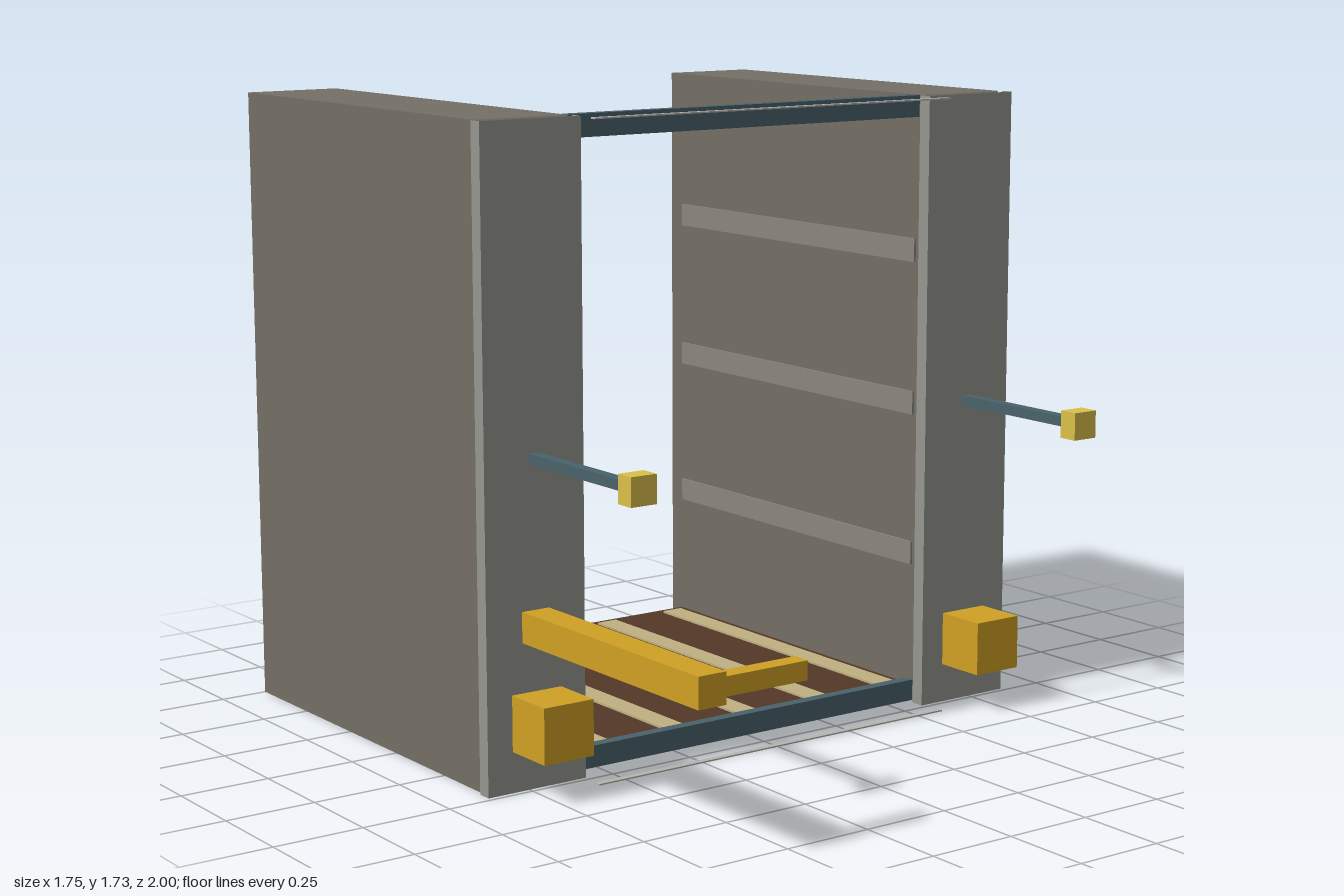
import * as THREE from 'three';

const paint = (color) => new THREE.MeshStandardMaterial({ color, side: THREE.DoubleSide });
const FACES = ['px', 'nx', 'py', 'ny', 'pz', 'nz'];

// Box from min/max ranges; the faces listed in "open" are left out
function box(name, material, [x0, x1], [y0, y1], [z0, z1], open = []) {
  const geometry = new THREE.BoxGeometry(x1 - x0, y1 - y0, z1 - z0);
  const all = Array.from(geometry.index.array);
  geometry.setIndex(all.filter((_, i) => !open.includes(FACES[Math.floor(i / 6)])));
  geometry.clearGroups();
  const mesh = new THREE.Mesh(geometry, material);
  mesh.name = name;
  mesh.position.set((x0 + x1) / 2, (y0 + y1) / 2, (z0 + z1) / 2);
  return mesh;
}

export function createModel() {
  const model = new THREE.Group();
  model.name = 'frame';
  const H = 1.73;
  const wall = paint(0x746f66), panel = paint(0x96978f), rail = paint(0x8b877c);
  const steel = paint(0x4a626b), wood = paint(0x543827), slat = paint(0xc0b082);
  const yellow = paint(0xd0a024), brass = paint(0xdcc04a), trim = paint(0xb5b5b0);

  // Side towers with front panel, inner rails, foot block and lever
  for (const s of [-1, 1]) {
    const side = new THREE.Group();
    side.name = s < 0 ? 'rightSide' : 'leftSide';
    const span = (a, b) => (s > 0 ? [a, b] : [-b, -a]);
    side.add(box('tower', wall, span(0.587, 0.865), [0, H], [-1, 0.19], ['ny', 'pz', 'nz']));
    side.add(box('frontPanel', panel, span(0.575, 0.875), [0, H], [0.195, 0.235], ['py', 'ny', 'nz']));
    for (let i = 1; i <= 3; i++) {
      const y = (H * i) / 4;
      side.add(box('wallRail', rail, span(0.581, 0.588), [y - 0.033, y + 0.033], [-0.94, 0.17]));
    }
    side.add(box('footBlock', yellow, span(0.65, 0.8), [0.11, 0.26], [0.235, 0.385], ['ny']));
    side.add(box('leverRod', steel, span(0.71, 0.74), [0.855, 0.883], [0.235, 0.67]));
    side.add(box('leverKnob', brass, span(0.687, 0.763), [0.83, 0.905], [0.665, 0.72], ['ny']));
    model.add(side);
  }

  // Cross beams and the thin trim strips in front of them
  for (const [y0, y1] of [[0.005, 0.065], [1.67, H]]) {
    model.add(box('crossBeam', steel, [-0.58, 0.58], [y0, y1], [0.155, 0.187]));
  }
  for (const y of [0, H - 0.004]) {
    model.add(box('trimStrip', trim, [-0.585, 0.585], [y, y + 0.004], [0.295, 0.313]));
  }

  // Floor with slats, and the short ceiling board
  model.add(box('floor', wood, [-0.586, 0.586], [0.02, 0.048], [-0.95, 0.155]));
  for (let i = -2; i <= 2; i++) {
    const x = 0.03 + i * 0.248;
    model.add(box('floorSlat', slat, [x - 0.033, x + 0.033], [0.046, 0.054], [-0.92, 0.13]));
  }
  model.add(box('ceilingBoard', wood, [-0.586, 0.586], [1.675, 1.703], [-0.085, 0.155]));

  // Crank arm with its sideways handle
  const crank = new THREE.Group();
  crank.name = 'crank';
  crank.add(box('crankArm', yellow, [-0.767, -0.685], [0.393, 0.475], [0.235, 1], ['ny']));
  crank.add(box('crankHandle', yellow, [-0.685, -0.435], [0.41, 0.46], [0.942, 0.992], ['ny']));
  model.add(crank);

  return model;
}
